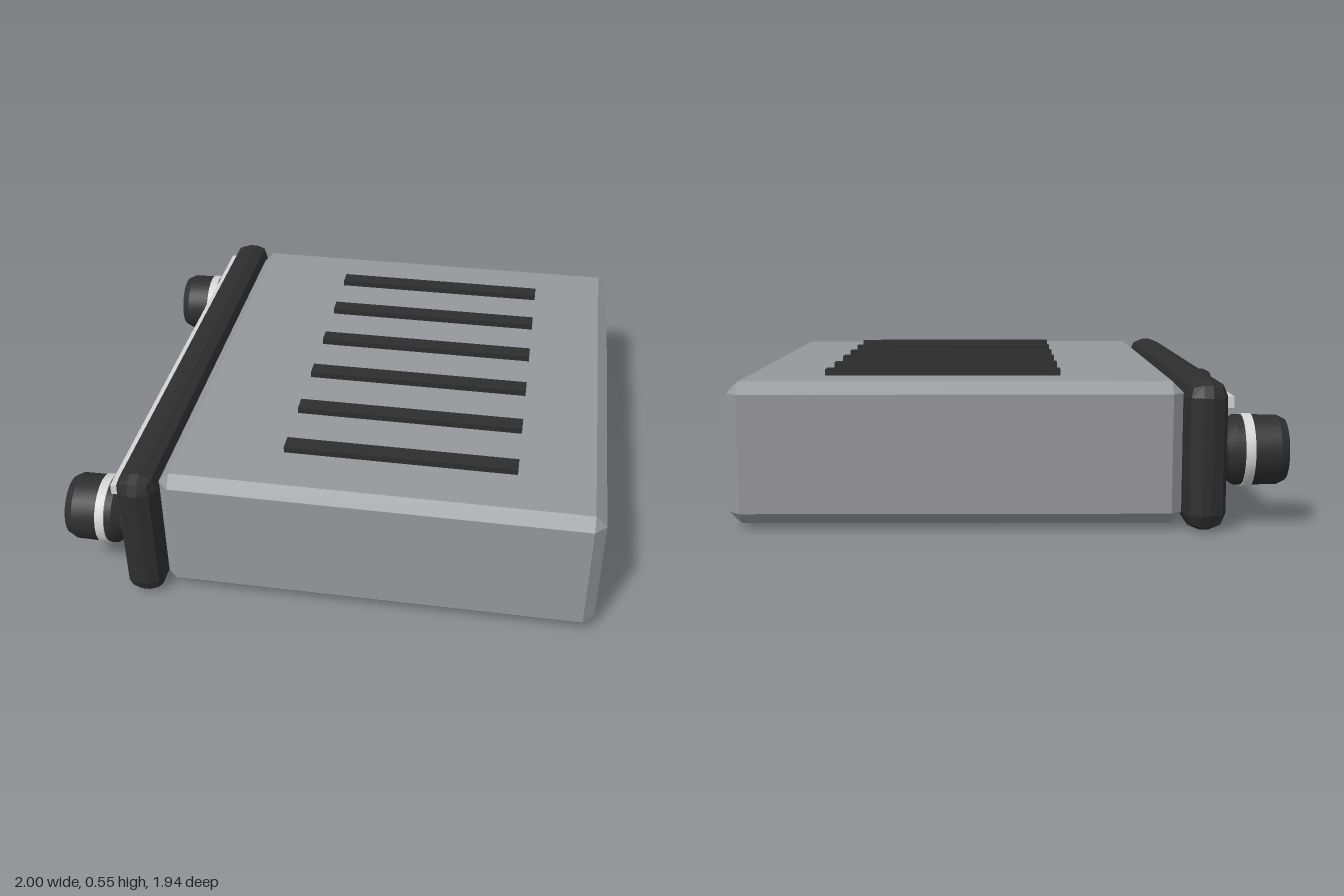
import * as THREE from 'three';
import { toCreasedNormals } from 'three/addons/utils/BufferGeometryUtils.js';
import { RoundedBoxGeometry } from 'three/addons/geometries/RoundedBoxGeometry.js';
import { ConvexGeometry } from 'three/addons/geometries/ConvexGeometry.js';

function material(name, color) {
  const m = new THREE.MeshStandardMaterial({ color });
  m.name = name;
  return m;
}

// Box with one flat chamfer on every edge
function chamferBox(w, h, d, c) {
  const pts = [];
  for (const x of [-w / 2, w / 2]) for (const y of [-h / 2, h / 2]) for (const z of [-d / 2, d / 2]) {
    const ix = x - Math.sign(x) * c, iy = y - Math.sign(y) * c, iz = z - Math.sign(z) * c;
    pts.push(new THREE.Vector3(x, iy, iz), new THREE.Vector3(ix, y, iz), new THREE.Vector3(ix, iy, z));
  }
  return new ConvexGeometry(pts);
}

export function createModel() {
  const model = new THREE.Group();
  const casing = material('casing grey', 0x96979b);
  const dark = material('dark plastic', 0x2e2e2e);
  const glass = material('display black', 0x1e1f20);
  const chrome = material('bright trim', 0xd4d4d4);
  const buttonGrey = material('button grey', 0xb8b8ba);
  const badgeGrey = material('indicator grey', 0x58595b);

  // Adds a geometry centred in the given ranges
  function add(name, mat, [x0, x1], [y0, y1], [z0, z1], make) {
    const mesh = new THREE.Mesh(make(x1 - x0, y1 - y0, z1 - z0), mat);
    mesh.position.set((x0 + x1) / 2, (y0 + y1) / 2, (z0 + z1) / 2);
    mesh.name = name;
    model.add(mesh);
  }
  const box = (w, h, d) => new THREE.BoxGeometry(w, h, d);
  const bevel = c => (w, h, d) => chamferBox(w, h, d, c);

  // Casing and the raised ribs on its lid
  add('casing', casing, [-0.625, 1], [0.02, 0.532], [-0.917, 0.917], bevel(0.042));
  for (let i = 0; i < 6; i++) {
    const z = -0.649 + i * 0.2596;
    add('lidRib', dark, [-0.195, 0.675], [0.52, 0.555], [z - 0.033, z + 0.033], box);
  }

  // Faceplate, facing -x, with softly faceted edges
  add('faceplate', dark, [-0.775, -0.622], [0.003, 0.542], [-0.972, 0.972], (w, h, d) => {
    const g = new RoundedBoxGeometry(w, h, d, 1, 0.06);
    g.computeVertexNormals();
    return g;
  });
  add('trimStrip', chrome, [-0.797, -0.77], [0.442, 0.482], [-0.915, 0.915], box);

  // Display frame, window and small indicator
  add('displayFrame', dark, [-0.815, -0.77], [0.165, 0.41], [-0.535, 0.275], bevel(0.01));
  add('displayWindow', glass, [-0.83, -0.81], [0.195, 0.38], [-0.46, 0.2], box);
  add('indicator', badgeGrey, [-0.79, -0.77], [0.29, 0.39], [0.41, 0.6], box);

  // Row of push buttons
  for (let i = 0; i < 4; i++) {
    const z = 0.043 + i * 0.146;
    add('pushButton', buttonGrey, [-0.872, -0.77], [0.075, 0.15], [z - 0.063, z + 0.063], bevel(0.02));
  }

  // Rotary knobs: lathe profiles as [radius, distance from the faceplate]
  const turned = profile => toCreasedNormals(
    new THREE.LatheGeometry(profile.map(([r, h]) => new THREE.Vector2(r, h)), 24), 0.4);
  const knobBody = turned([[0, 0], [0.108, 0], [0.108, 0.015], [0.129, 0.045], [0.127, 0.2], [0.112, 0.23], [0, 0.23]]);
  const knobRing = turned([[0.12, 0.07], [0.133, 0.072], [0.133, 0.106], [0.12, 0.108]]);
  for (const side of [-1, 1]) {
    const knob = new THREE.Group();
    knob.name = 'rotaryKnob';
    const body = new THREE.Mesh(knobBody, dark);
    body.name = 'knobBody';
    const ring = new THREE.Mesh(knobRing, chrome);
    ring.name = 'knobRing';
    knob.add(body, ring);
    knob.rotation.z = Math.PI / 2;
    knob.position.set(-0.77, 0.275, side * 0.8);
    model.add(knob);
  }
  return model;
}
